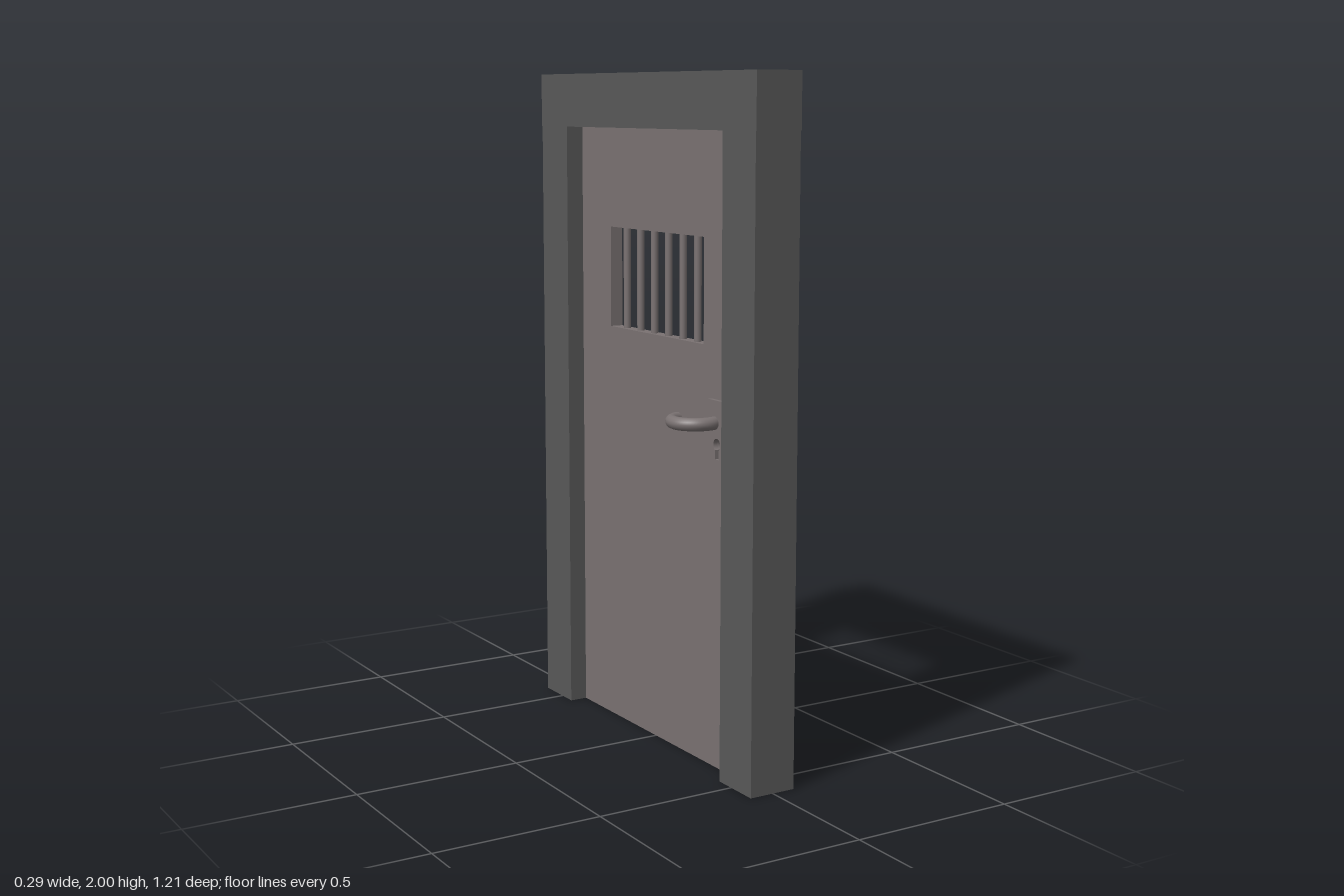
import * as THREE from 'three';

const frameMat = new THREE.MeshStandardMaterial({ color: 0x595959 });
const doorMat = new THREE.MeshStandardMaterial({ color: 0x7a7272 });

const DOOR_T = 0.04; // leaf thickness
const PLATE_T = 0.012;
const LOCK_Z = 0.352;

function add(parent, name, geometry, material, x = 0, y = 0, z = 0) {
  const mesh = new THREE.Mesh(geometry, material);
  mesh.name = name;
  mesh.position.set(x, y, z);
  parent.add(mesh);
  return mesh;
}

function rectPath(path, z0, z1, y0, y1) {
  path.moveTo(z0, y0);
  path.lineTo(z1, y0);
  path.lineTo(z1, y1);
  path.lineTo(z0, y1);
  path.closePath();
  return path;
}

// Round top with a straight slot below
function keyhole() {
  const p = new THREE.Path();
  const a = -Math.PI / 3;
  p.moveTo(LOCK_Z - 0.009, 0.916);
  p.lineTo(LOCK_Z + 0.009, 0.916);
  p.absarc(LOCK_Z, 0.958, 0.018, a, Math.PI - a, false);
  p.closePath();
  return p;
}

// Extrudes a shape drawn in (z, y) along x, centred on x = 0
function slab(shape, depth) {
  return new THREE.ExtrudeGeometry(shape, { depth, bevelEnabled: false, curveSegments: 16 })
    .translate(0, 0, -depth / 2)
    .rotateY(-Math.PI / 2);
}

export function createModel() {
  const model = new THREE.Group();
  model.name = 'cellDoor';

  // Frame: two jambs and a lintel
  const frame = new THREE.Group();
  frame.name = 'frame';
  model.add(frame);
  for (const s of [1, -1]) {
    add(frame, 'jamb', new THREE.BoxGeometry(0.145, 1.84, 0.16), frameMat, -0.002, 0.92, s * 0.52);
  }
  add(frame, 'lintel', new THREE.BoxGeometry(0.146, 0.16, 1.206), frameMat, -0.002, 1.92, 0);

  // Door leaf with window and keyhole cut through
  const leaf = rectPath(new THREE.Shape(), -0.44, 0.44, 0, 1.84);
  leaf.holes.push(rectPath(new THREE.Path(), -0.265, 0.263, 1.235, 1.54), keyhole());
  add(model, 'doorLeaf', slab(leaf, DOOR_T), doorMat);

  // Window bars
  const bar = new THREE.CylinderGeometry(0.011, 0.011, 0.31, 12);
  for (let i = 0; i < 6; i++) {
    add(model, 'windowBar', bar, doorMat, 0, 1.3875, -0.2 + i * 0.08);
  }

  // Lock plate and curved handle on both faces
  const plate = rectPath(new THREE.Shape(), 0.308, 0.397, 0.843, 1.085);
  plate.holes.push(keyhole());
  const plateGeo = slab(plate, PLATE_T);

  const R = 0.066, r = 0.019;
  const start = THREE.MathUtils.degToRad(-73);
  const arc = THREE.MathUtils.degToRad(208);
  const ringGeo = new THREE.TorusGeometry(R, r, 14, 36, arc).rotateZ(start).rotateX(Math.PI / 2);
  const tipGeo = new THREE.CircleGeometry(r, 14).rotateX(Math.PI / 2).translate(R, 0, 0)
    .rotateZ(start).rotateX(Math.PI / 2);

  for (const s of [1, -1]) {
    add(model, 'lockPlate', plateGeo, doorMat, s * (DOOR_T + PLATE_T) / 2, 0, 0);
    const handle = new THREE.Group();
    handle.name = 'handle';
    handle.position.set(s * 0.06, 1.02, 0.281);
    if (s < 0) handle.rotation.z = Math.PI;
    add(handle, 'handleRing', ringGeo, doorMat);
    add(handle, 'handleTip', tipGeo, doorMat);
    model.add(handle);
  }

  return model;
}
